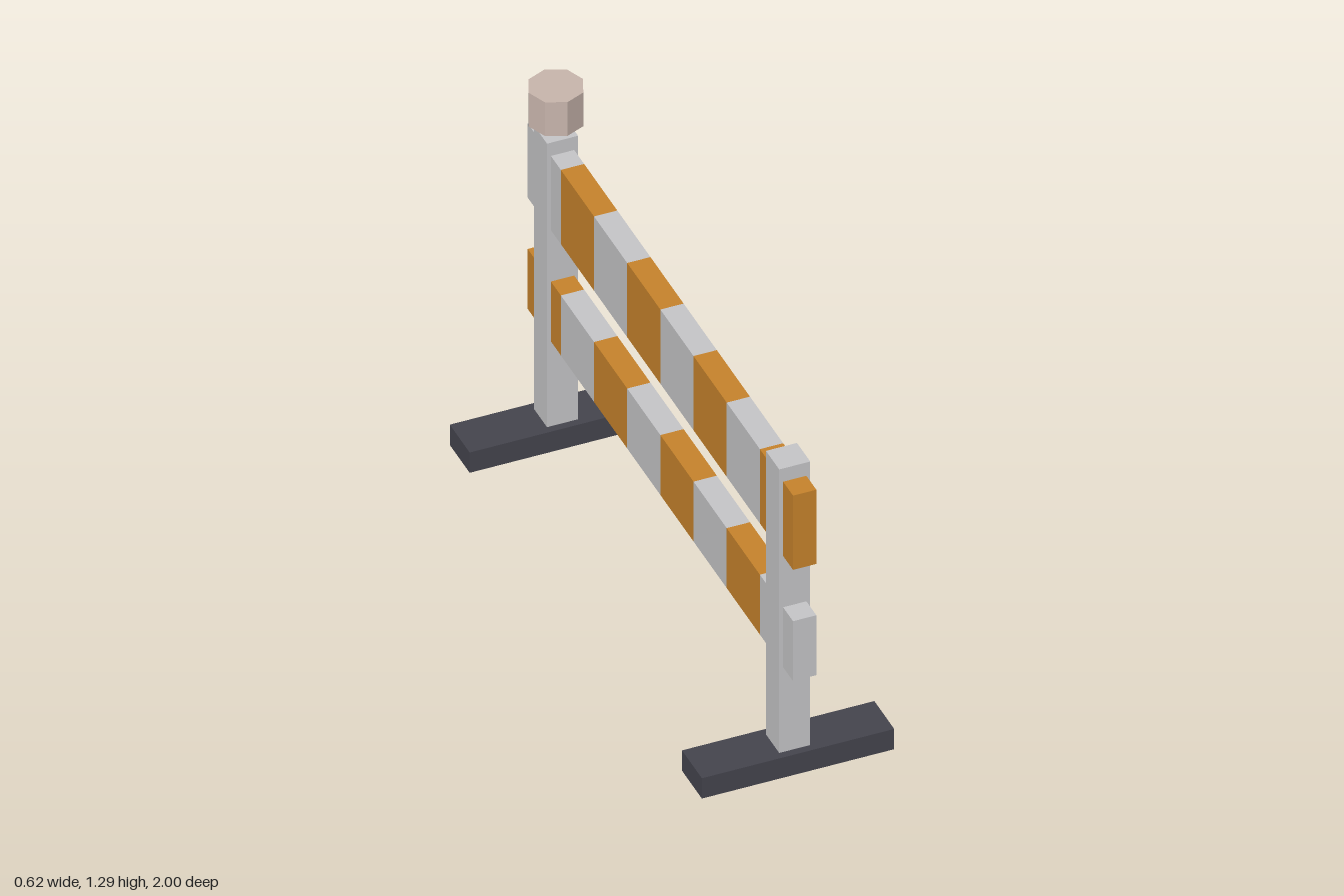
import * as THREE from 'three';

const material = (name, color) => {
  const m = new THREE.MeshStandardMaterial({ color });
  m.name = name;
  return m;
};

export function createModel() {
  const orange = material('orange', 0xc8842c);
  const white = material('offWhite', 0xc7c7c9);
  const dark = material('darkRubber', 0x45454e);
  const lampColor = material('paleLamp', 0xc9b6ad);

  const model = new THREE.Group();
  model.name = 'roadBarrier';

  const add = (parent, name, geometry, mat, x, y, z) => {
    const mesh = new THREE.Mesh(geometry, mat);
    mesh.name = name;
    mesh.position.set(x, y, z);
    parent.add(mesh);
  };

  // Feet and posts, one pair at each end
  for (const [end, z] of [['front', 0.875], ['back', -0.875]]) {
    add(model, end + 'Foot', new THREE.BoxGeometry(0.62, 0.075, 0.15), dark, 0, 0.0375, z);
    add(model, end + 'Post', new THREE.BoxGeometry(0.1, 1.115, 0.1), white, 0, 0.5675, z);
  }

  // Striped rails: eight alternating blocks from back to front
  const rail = (name, y, height, colors) => {
    const group = new THREE.Group();
    group.name = name;
    const block = new THREE.BoxGeometry(0.075, height, 0.25);
    for (let i = 0; i < 8; i++) {
      add(group, 'stripe' + (i + 1), block, colors[i % 2], 0, y, -0.875 + i * 0.25);
    }
    model.add(group);
  };
  rail('upperRail', 0.9385, 0.275, [white, orange]);
  rail('lowerRail', 0.5, 0.222, [orange, white]);

  // Eight-sided warning lamp above the back post
  const lamp = new THREE.CylinderGeometry(0.0875, 0.0875, 0.125, 8).toNonIndexed();
  lamp.computeVertexNormals();
  add(model, 'lamp', lamp, lampColor, 0, 1.2275, -0.875);

  return model;
}
